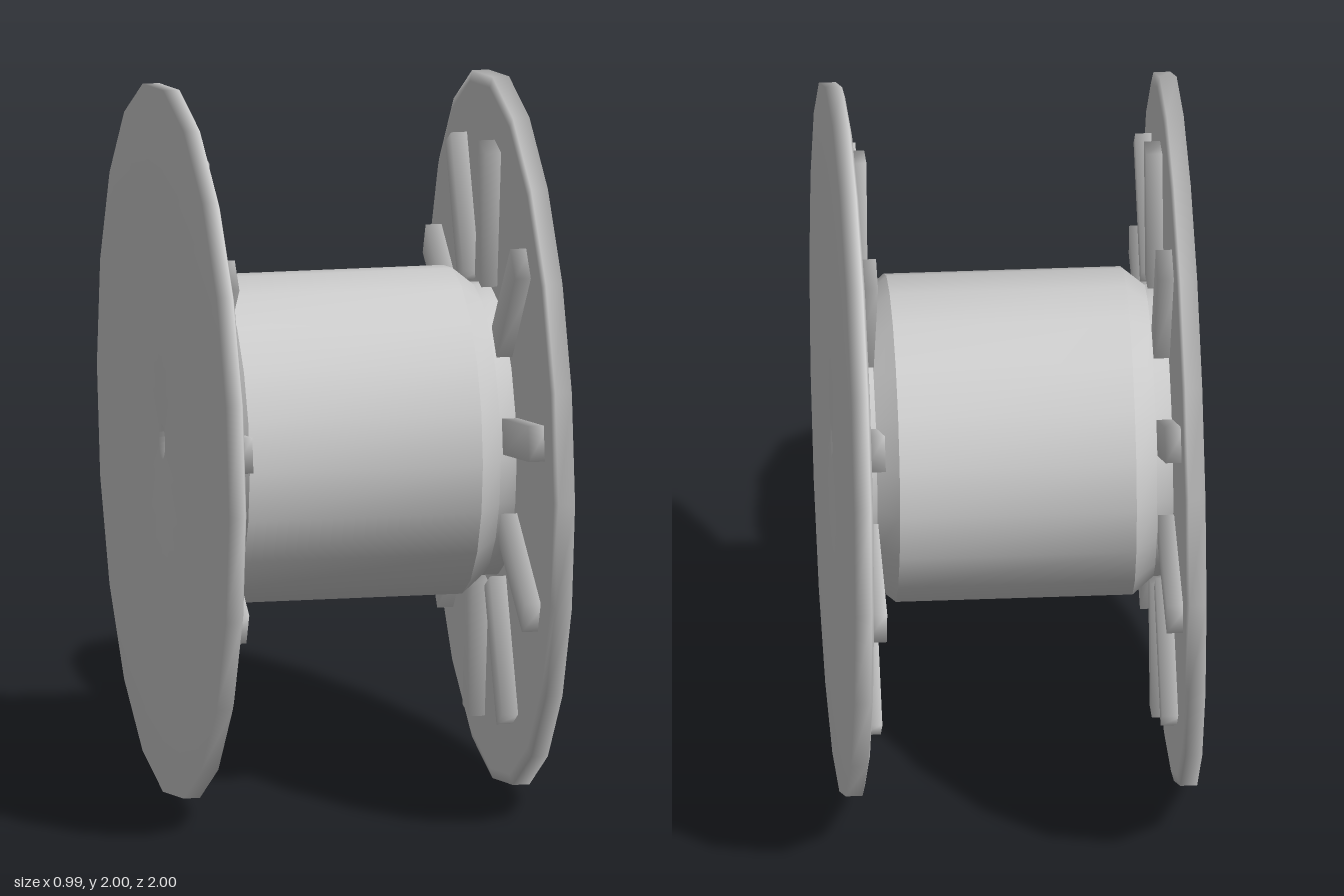
import * as THREE from 'three';
import { mergeVertices, toCreasedNormals } from 'three/addons/utils/BufferGeometryUtils.js';

const SIDES = 20, RIBS = 10, BORE = 0.05;
const material = new THREE.MeshStandardMaterial({ color: 0xcccccc });

// Turned part about the x axis; points are [radius, x]
function turned(points) {
  const profile = points.map(([r, x]) => new THREE.Vector2(r, x));
  return new THREE.LatheGeometry(profile, SIDES).rotateZ(-Math.PI / 2);
}

// Box with normals shared over its edges, for soft shading
function softBox(w, h, d) {
  const box = new THREE.BoxGeometry(w, h, d);
  box.deleteAttribute('normal');
  box.deleteAttribute('uv');
  const soft = mergeVertices(box);
  soft.computeVertexNormals();
  return soft;
}

function addMesh(parent, geometry, name) {
  const mesh = new THREE.Mesh(geometry, material);
  mesh.name = name;
  parent.add(mesh);
  return mesh;
}

export function createModel() {
  const spool = new THREE.Group();
  spool.name = 'spool';

  // Winding drum with chamfered ends, short necks and a through bore
  const drum = turned([
    [BORE, -0.44], [0.41, -0.44], [0.41, -0.39], [0.46, -0.33],
    [0.46, 0.33], [0.41, 0.39], [0.41, 0.44], [BORE, 0.44], [BORE, -0.44],
  ]);
  addMesh(spool, toCreasedNormals(drum, 0.6), 'drum');

  for (const side of [-1, 1]) {
    const end = new THREE.Group();
    end.name = side > 0 ? 'leftEnd' : 'rightEnd';
    spool.add(end);

    // Flange disc: softly shaded outer face, rim and bore
    const inner = 0.435, outer = 0.493;
    const points = [
      [BORE, inner], [0.97, inner], [1, inner + 0.008],
      [1, outer - 0.003], [BORE, outer], [BORE, inner],
    ].map(([r, x]) => [r, x * side]);
    if (side < 0) points.reverse();
    addMesh(end, turned(points), 'flange');

    // Radial ribs on the inner face
    for (let i = 0; i < RIBS; i++) {
      const angle = THREE.MathUtils.degToRad(9.5 + i * 360 / RIBS);
      const rib = softBox(0.06, 0.1, 0.4).translate(side * 0.42, 0, 0.64);
      addMesh(end, rib, 'rib').rotation.x = -angle;
    }
  }

  spool.position.y = 1;
  const model = new THREE.Group();
  model.add(spool);
  return model;
}
